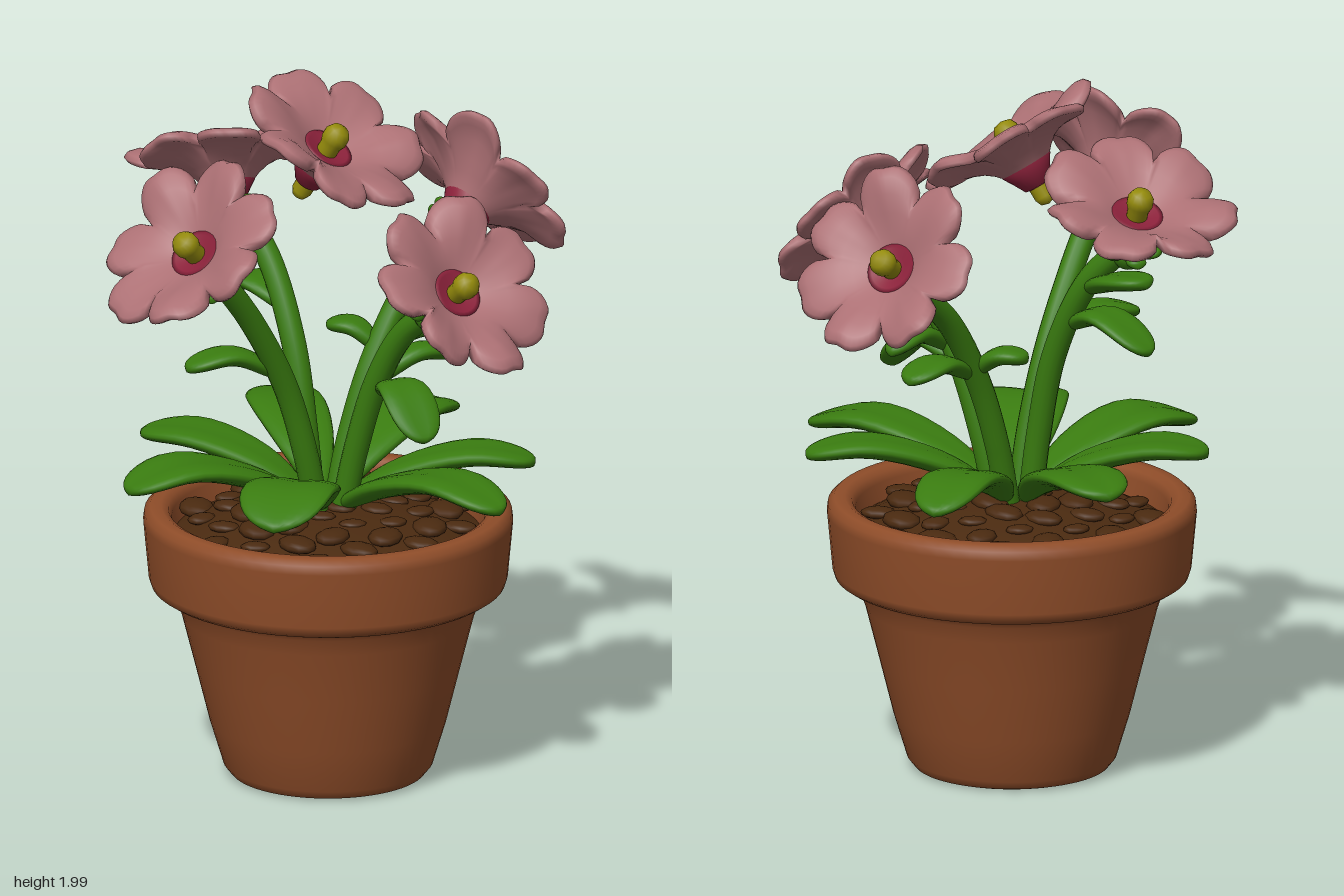
import * as THREE from 'three';
import { mergeVertices } from 'three/addons/utils/BufferGeometryUtils.js';

const mat = (name, color) => {
  const m = new THREE.MeshStandardMaterial({ color });
  m.name = name;
  return m;
};
const V = (a) => new THREE.Vector3(...a);

// Weld seams and rebuild smooth normals
function smooth(geo) {
  geo.deleteAttribute('uv');
  geo.deleteAttribute('normal');
  const g = mergeVertices(geo, 1e-5);
  g.computeVertexNormals();
  return g;
}

// Revolved profile of [radius, height] pairs, optionally reshaped by a rule
function lathe(profile, segments, rule) {
  const geo = new THREE.LatheGeometry(profile.map(([r, h]) => new THREE.Vector2(r, h)), segments);
  if (rule) {
    const p = geo.attributes.position, v = new THREE.Vector3();
    for (let i = 0; i < p.count; i++) {
      rule(v.fromBufferAttribute(p, i));
      p.setXYZ(i, v.x, v.y, v.z);
    }
  }
  return smooth(geo);
}

// Thick rounded leaf: a sphere swept along a curve, widest past the middle
function leafGeometry(points, halfWidth, thickness) {
  const curve = new THREE.CatmullRomCurve3(points.map(V));
  const geo = new THREE.SphereGeometry(1, 20, 20);
  const p = geo.attributes.position;
  const v = new THREE.Vector3(), up = new THREE.Vector3(0, 1, 0);
  for (let i = 0; i < p.count; i++) {
    v.fromBufferAttribute(p, i);
    const t = THREE.MathUtils.clamp((v.y + 1) / 2, 0, 1);
    const ring = Math.sqrt(Math.max(0, 1 - v.y * v.y));
    const c = ring > 1e-4 ? v.x / ring : 0, s = ring > 1e-4 ? v.z / ring : 0;
    const tangent = curve.getTangent(t);
    const side = tangent.clone().cross(up).normalize();
    const normal = side.clone().cross(tangent).normalize();
    const w = halfWidth * ring * (0.45 + 0.75 * t);
    const lift = 0.14 * Math.abs(c) * w + s * thickness * Math.sqrt(ring);
    v.copy(curve.getPoint(t)).addScaledVector(side, c * w).addScaledVector(normal, lift);
    p.setXYZ(i, v.x, v.y, v.z);
  }
  return smooth(geo);
}

// Funnel of seven notched petals
function petalGeometry(phase) {
  const profile = [[0.072, 0.06], [0.09, 0.08], [0.115, 0.1], [0.15, 0.12], [0.2, 0.143], [0.25, 0.155],
    [0.28, 0.158], [0.29, 0.172], [0.278, 0.184], [0.25, 0.188], [0.2, 0.18], [0.15, 0.163], [0.11, 0.145],
    [0.085, 0.133], [0.066, 0.122]];
  return lathe(profile, 112, (v) => {
    const r = Math.hypot(v.x, v.z), a = Math.atan2(v.x, v.z);
    const s = THREE.MathUtils.smoothstep(r, 0.09, 0.28);
    const c = Math.abs(Math.cos(3.5 * a));
    const k = 1 - s * (0.34 * (1 - Math.sqrt(c)) + 0.05 * c ** 14 + 0.03 * (1 + Math.sin(3 * a + phase)) / 2);
    v.x *= k;
    v.z *= k;
    v.y += s * (0.016 * Math.sin(2 * a + phase) + 0.014 * Math.sin(5 * a + 2 * phase) - 0.025 * (1 - c));
  });
}

export function createModel() {
  const terracotta = mat('terracotta', 0x8f4d29);
  const soilBrown = mat('soil brown', 0x4a2a10);
  const green = mat('leaf green', 0x3a7c10);
  const pink = mat('petal pink', 0xac7074);
  const magenta = mat('throat magenta', 0x8a213a);
  const yellow = mat('pistil yellow', 0x958c0c);

  const root = new THREE.Group();
  root.name = 'pottedFlowers';
  const add = (parent, name, geo, material) => {
    const m = new THREE.Mesh(geo, material);
    m.name = name;
    parent.add(m);
    return m;
  };

  // Pot with a heavy rounded rim
  const pot = add(root, 'pot', lathe([[0, 0.003], [0.25, 0.003], [0.272, 0.01], [0.292, 0.035], [0.33, 0.16], [0.37, 0.32],
    [0.408, 0.47], [0.425, 0.52], [0.44, 0.543], [0.475, 0.546], [0.493, 0.558], [0.5, 0.58], [0.515, 0.74],
    [0.512, 0.765], [0.495, 0.781], [0.465, 0.782], [0.445, 0.772], [0.435, 0.75], [0.42, 0.64]], 64), terracotta);
  pot.position.x = 0.012;

  // Domed soil and scattered clods
  add(root, 'soil', lathe([[0.436, 0.695], [0.35, 0.738], [0.2, 0.776], [0, 0.788]], 40), soilBrown).position.x = 0.012;
  const clods = new THREE.Group();
  clods.name = 'soilClods';
  root.add(clods);
  for (let i = 0; i < 46; i++) {
    const r = 0.4 * Math.sqrt((i + 0.5) / 46), a = i * 2.39996;
    const clod = add(clods, 'clod', new THREE.SphereGeometry(0.05 + 0.014 * Math.sin(i * 3.7), 10, 8), soilBrown);
    clod.position.set(0.012 + r * Math.cos(a), 0.787 - 0.37 * r * r, r * Math.sin(a));
    clod.scale.set(1.1, 0.36, 0.8);
    clod.rotation.y = i * 1.3;
  }

  // Large leaves spreading over the rim: tip x, tip height, tip z, half width
  const baseLeaves = [
    [0.66, 0.9, -0.05, 0.11], [0.32, 0.89, 0.5, 0.145], [-0.19, 0.9, 0.58, 0.125], [-0.49, 0.93, 0.24, 0.115],
    [-0.52, 0.93, -0.28, 0.12], [-0.15, 0.9, -0.61, 0.11], [0.44, 0.92, -0.39, 0.1],
  ];
  for (const [x, y, z, w] of baseLeaves) {
    add(root, 'baseLeaf', leafGeometry([[x * 0.08, 0.79, z * 0.08], [x * 0.35, 0.88, z * 0.35],
      [x * 0.7, 0.935, z * 0.7], [x, y, z]], w, 0.03), green);
  }

  // Stems
  const stems = [
    [[-0.05, 0.77, 0], [-0.08, 0.98, 0], [-0.14, 1.22, -0.01], [-0.26, 1.45, -0.02], [-0.385, 1.58, 0]],
    [[0.06, 0.77, -0.01], [0.1, 0.95, -0.02], [0.18, 1.18, -0.03], [0.28, 1.34, -0.04], [0.41, 1.44, -0.05]],
    [[0.02, 0.77, 0.05], [0.02, 0.94, 0.09], [0.01, 1.16, 0.16], [0.01, 1.38, 0.29], [0.02, 1.56, 0.44]],
    [[-0.01, 0.77, -0.05], [-0.01, 0.95, -0.1], [0, 1.16, -0.18], [0.01, 1.36, -0.31], [0.02, 1.5, -0.48]],
  ];
  for (const pts of stems) {
    add(root, 'stem', new THREE.TubeGeometry(new THREE.CatmullRomCurve3(pts.map(V)), 28, 0.035, 14), green);
  }

  // Small leaves on the stems: path and half width
  const stemLeaves = [
    [[[-0.25, 1.43, -0.02], [-0.36, 1.47, -0.04], [-0.49, 1.49, -0.05]], 0.075],
    [[[-0.18, 1.31, -0.01], [-0.31, 1.355, -0.02], [-0.48, 1.28, -0.03]], 0.08],
    [[[0.19, 1.15, -0.03], [0.32, 1.19, 0.01], [0.46, 1.08, 0.05]], 0.085],
    [[[0.01, 1.2, 0.18], [-0.06, 1.26, 0.29], [-0.12, 1.24, 0.42]], 0.065],
    [[[0, 1.18, -0.2], [0.03, 1.23, -0.31], [0.05, 1.21, -0.45]], 0.07],
    [[[0.2, 1.19, -0.03], [0.225, 1.245, -0.14], [0.24, 1.22, -0.27]], 0.05],
    [[[0, 1.19, -0.2], [-0.07, 1.24, -0.18], [-0.15, 1.24, -0.15]], 0.055],
  ];
  for (const [pts, w] of stemLeaves) add(root, 'stemLeaf', leafGeometry(pts, w, 0.025), green);

  // Flowers: rim centre, facing direction, and whether carried by a stem
  const flowers = [
    ['leftwardFlower', [-0.45, 1.72, -0.035], [-0.36, 0.91, -0.2], true],
    ['rightwardFlower', [0.53, 1.535, -0.04], [0.77, 0.64, 0], true],
    ['frontFlower', [0.03, 1.67, 0.56], [0, 0.7, 0.71], true],
    ['backFlower', [0.02, 1.6, -0.61], [0, 0.56, -0.83], true],
    ['topFlower', [0, 1.845, -0.04], [0.52, 0.84, -0.14], false],
  ];
  flowers.forEach(([name, centre, facing, hasStem], i) => {
    const flower = new THREE.Group();
    flower.name = name;
    const n = V(facing).normalize();
    flower.position.copy(V(centre)).addScaledVector(n, -0.17);
    flower.quaternion.setFromUnitVectors(new THREE.Vector3(0, 1, 0), n);
    flower.rotateY(i * 0.7);
    root.add(flower);

    add(flower, 'petals', petalGeometry(i * 1.7), pink);
    add(flower, 'throat', lathe([[0, -0.01], [0.04, 0], [0.06, 0.036], [0.077, 0.063], [0.078, 0.1], [0.072, 0.127],
      [0.06, 0.126], [0.04, 0.118], [0, 0.112]], 28), magenta);

    // Pistil; it shows behind the blossom that has no stem
    const low = hasStem ? 0.08 : -0.06;
    add(flower, 'pistil', lathe([[0, low], [0.02, low + 0.006], [0.029, low + 0.025], [0.03, 0.14], [0.037, 0.16],
      [0.037, 0.18], [0.026, 0.199], [0, 0.205]], 16), yellow);

    // Green cup with short sepals
    if (!hasStem) return;
    const cup = add(flower, 'cup', new THREE.SphereGeometry(0.048, 16, 12), green);
    cup.position.y = -0.015;
    for (let k = 0; k < 5; k++) {
      const a = (k / 5) * Math.PI * 2, x = Math.cos(a), z = Math.sin(a);
      add(flower, 'sepal', leafGeometry([[x * 0.02, -0.02, z * 0.02], [x * 0.055, -0.005, z * 0.055],
        [x * 0.09, 0.01, z * 0.09]], 0.032, 0.016), green);
    }
  });
  return root;
}
